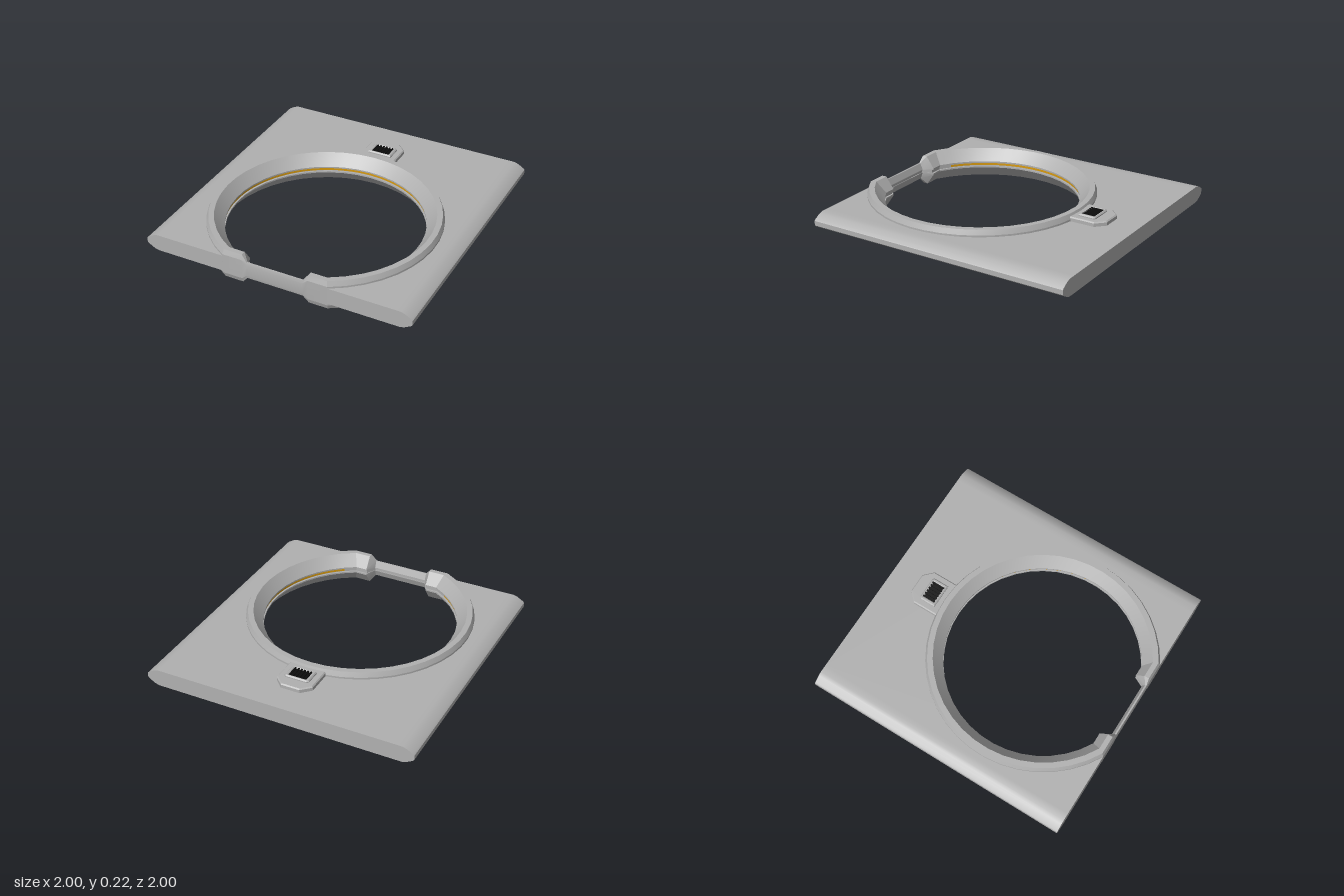
import * as THREE from 'three';
import { toCreasedNormals } from 'three/addons/utils/BufferGeometryUtils.js';

const MID = 0.111;      // middle height of the whole plate
const RING_Z = 0.27;    // centre of the opening

export function createModel() {
  const model = new THREE.Group();
  const grey = new THREE.MeshStandardMaterial({ name: 'grey metal', color: 0xb0b0b0 });
  const black = new THREE.MeshStandardMaterial({ name: 'black window', color: 0x0c0c0c });
  const amber = new THREE.MeshStandardMaterial({ name: 'amber strip', color: 0xd79a10, side: THREE.DoubleSide });

  const add = (name, geometry, material) => {
    const mesh = new THREE.Mesh(geometry, material);
    mesh.name = name;
    model.add(mesh);
    return mesh;
  };
  const polygon = (pts) => new THREE.Shape(pts.map(([x, y]) => new THREE.Vector2(x, y)));
  // Extrude a plan drawn in (x, z) so that it is centred on the middle height
  const slab = (shape, height, bevel = 0) => {
    const g = new THREE.ExtrudeGeometry(shape, {
      depth: height - 2 * bevel, bevelEnabled: bevel > 0, bevelSize: bevel, bevelThickness: bevel,
      bevelOffset: -bevel, bevelSegments: 1, curveSegments: 40,
    });
    return g.rotateX(Math.PI / 2).translate(0, MID + height / 2 - bevel, 0);
  };

  // Flat body with a round opening that breaks through the front edge
  const body = new THREE.Shape();
  const r = 0.8, a = Math.asin((1 - RING_Z) / r), edge = 0.86;
  body.moveTo(edge, 1);
  body.lineTo(edge, -1);
  body.lineTo(-edge, -1);
  body.lineTo(-edge, 1);
  body.lineTo(-r * Math.cos(a), 1);
  body.absarc(0, RING_Z, r, Math.PI - a, 2 * Math.PI + a, false);
  add('body', slab(body, 0.124), grey);

  // Tapered side edges
  const taper = polygon([[edge, -0.062], [0.915, -0.062], [0.945, -0.053], [0.99, -0.027], [1, -0.017],
    [1, 0.017], [0.99, 0.027], [0.945, 0.053], [0.915, 0.062], [edge, 0.062]]);
  for (const side of [1, -1]) {
    const g = new THREE.ExtrudeGeometry(taper, { depth: 2, bevelEnabled: false }).translate(0, MID, -1);
    if (side < 0) g.translate(0, -MID, 0).rotateZ(Math.PI).translate(0, MID, 0);
    add(side > 0 ? 'leftEdge' : 'rightEdge', toCreasedNormals(g, 0.7), grey);
  }

  // Ring: one section swept round the opening, then narrowed into the front bar
  const section = [[0.775, -0.111], [0.815, -0.111], [0.83, -0.075], [0.83, 0.075], [0.815, 0.111], [0.775, 0.111],
    [0.705, 0.025], [0.705, 0.014], [0.72, 0.014], [0.72, -0.014], [0.705, -0.014], [0.705, -0.025]];
  const end = THREE.MathUtils.degToRad(151.6);
  const stations = [];
  const bar = (x) => section.map(([q, y]) => [x, MID + y * 0.56, 0.965 + (q - 0.705) * 0.28]);
  const block = (x) => section.map(([q, y]) => [x, MID + y, RING_Z - q * Math.cos(end)]);
  stations.push(bar(-0.21), block(-0.25));
  const steps = 36;
  for (let i = 0; i <= steps; i++) {
    const t = -end + (2 * end * i) / steps;
    stations.push(section.map(([q, y]) => [q * Math.sin(t), MID + y, RING_Z - q * Math.cos(t)]));
  }
  stations.push(block(0.25), bar(0.21));
  const n = section.length, index = [];
  stations.forEach((_, i) => {
    const k = (i + 1) % stations.length;
    for (let j = 0; j < n; j++) {
      const m = (j + 1) % n;
      index.push(i * n + j, i * n + m, k * n + j, i * n + m, k * n + m, k * n + j);
    }
  });
  const ring = new THREE.BufferGeometry();
  ring.setAttribute('position', new THREE.Float32BufferAttribute(stations.flat(2), 3));
  ring.setIndex(index);
  add('ringAndFrontBar', toCreasedNormals(ring, 0.35), grey);

  // Amber strip inside the ring's groove
  const start = THREE.MathUtils.degToRad(36);
  const strip = new THREE.CylinderGeometry(0.713, 0.713, 0.016, 72, 1, true, start, 2 * Math.PI - 2 * start);
  add('amberStrip', strip.translate(0, MID, RING_Z), amber);

  // Housing behind the ring
  add('housing', slab(polygon([[-0.137, -0.53], [-0.137, -0.73], [-0.07, -0.795], [0.07, -0.795],
    [0.137, -0.73], [0.137, -0.53]]), 0.188, 0.008), grey);

  // Raised window frame, showing on both faces
  const frame = polygon([[-0.092, -0.583], [-0.092, -0.7], [-0.08, -0.712], [0.08, -0.712],
    [0.092, -0.7], [0.092, -0.583]]);
  frame.holes.push(polygon([[-0.065, -0.605], [0.065, -0.605], [0.065, -0.69], [-0.065, -0.69]]));
  add('windowFrame', slab(frame, 0.218, 0.008), grey);

  // Black ribbed windows on top and underneath
  for (const side of [1, -1]) {
    const name = side > 0 ? 'topWindow' : 'bottomWindow';
    add(name, new THREE.BoxGeometry(0.146, 0.008, 0.1).translate(0, MID + side * 0.097, -0.6475), black);
    for (let i = 0; i < 6; i++) {
      add(name + 'Rib', new THREE.BoxGeometry(0.012, 0.008, 0.1)
        .translate(-0.06 + i * 0.024, MID + side * 0.104, -0.6475), black);
    }
  }
  return model;
}
